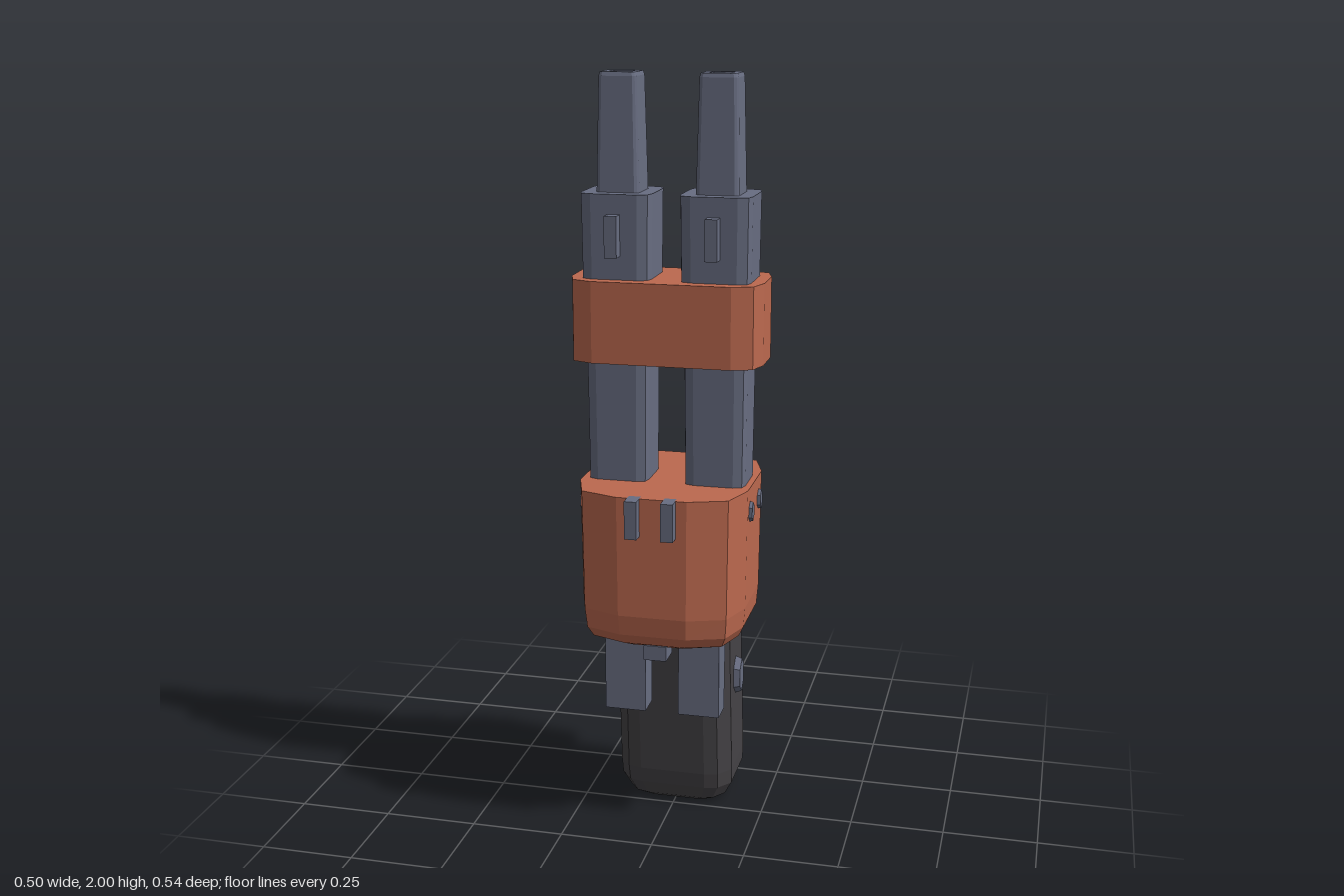
import * as THREE from 'three';

const mat = (name, color) => {
  const m = new THREE.MeshStandardMaterial({ color });
  m.name = name;
  return m;
};

// Octagon-like outline, counter-clockwise from above; corner = [[x, z], ...] as fractions of the half sizes
function ring(y, hw, zFront, zBack, corner, cx = 0) {
  const hz = (zFront - zBack) / 2, cz = (zFront + zBack) / 2, pts = [];
  const rev = [...corner].reverse();
  for (const [sx, sz, list] of [[1, -1, corner], [-1, -1, rev], [-1, 1, corner], [1, 1, rev]])
    for (const [u, v] of list) pts.push([cx + sx * u * hw, y, cz + sz * v * hz]);
  return pts;
}

// Faceted skin through a stack of rings, with optional end caps
function loft(rings, capBottom = true, capTop = true) {
  const pos = [];
  const tri = (a, b, c) => pos.push(...a, ...b, ...c);
  for (let r = 0; r < rings.length - 1; r++) {
    const a = rings[r], b = rings[r + 1], n = a.length;
    for (let i = 0; i < n; i++) {
      const j = (i + 1) % n;
      tri(a[i], a[j], b[j]);
      tri(a[i], b[j], b[i]);
    }
  }
  const first = rings[0], last = rings[rings.length - 1];
  for (let i = 1; i < first.length - 1; i++) {
    if (capBottom) tri(first[0], first[i + 1], first[i]);
    if (capTop) tri(last[0], last[i], last[i + 1]);
  }
  const g = new THREE.BufferGeometry();
  g.setAttribute('position', new THREE.Float32BufferAttribute(pos, 3));
  g.computeVertexNormals();
  return g;
}

// Side profile of [z, y] points, extruded along x between x0 and x1
function sideExtrude(points, x0, x1) {
  const shape = new THREE.Shape(points.map(([z, y]) => new THREE.Vector2(-z, y)));
  const g = new THREE.ExtrudeGeometry(shape, { depth: x1 - x0, bevelEnabled: false });
  g.rotateY(Math.PI / 2);
  g.translate(x0, 0, 0);
  return g;
}

export function createModel() {
  const model = new THREE.Group();
  const copper = mat('copper', 0xbc694f);
  const steel = mat('steel', 0x686d81);
  const black = mat('black', 0x454346);
  const amber = mat('amber', 0xb5781f);

  const add = (name, geometry, material, parent = model) => {
    const mesh = new THREE.Mesh(geometry, material);
    mesh.name = name;
    parent.add(mesh);
    return mesh;
  };
  const box = (name, x0, x1, y0, y1, z0, z1, material, parent) =>
    add(name, new THREE.BoxGeometry(x1 - x0, y1 - y0, z1 - z0), material, parent)
      .position.set((x0 + x1) / 2, (y0 + y1) / 2, (z0 + z1) / 2);

  // Receiver body with a rounded underside
  const bodyCorner = [[1, 0.42], [0.86, 0.845], [0.41, 1]];
  add('body', loft([
    [0.54, 0.165, 0.18, -0.19], [0.555, 0.2, 0.21, -0.2], [0.585, 0.214, 0.23, -0.203],
    [0.64, 0.219, 0.238, -0.206], [0.96, 0.223, 0.24, -0.21],
  ].map(([y, w, f, b]) => ring(y, w, f, b, bodyCorner))), copper);

  // Clamp band round both barrels
  const clampCorner = [[1, 0.4], [0.932, 0.84], [0.72, 1]];
  add('clamp', loft([1.28, 1.49].map((y) => ring(y, 0.25, 0.14, -0.11, clampCorner))), copper);

  // Leaning grip
  const gripCorner = [[1, 0.62], [0.8, 0.93], [0.57, 1]];
  add('grip', loft([
    [0, 0.105, -0.035, -0.225], [0.015, 0.135, -0.015, -0.245], [0.055, 0.156, 0.002, -0.258],
    [0.1, 0.158, 0.01, -0.256], [0.54, 0.156, 0.047, -0.205], [0.58, 0.15, 0.05, -0.195],
  ].map(([y, w, f, b]) => ring(y, w, f, b, gripCorner))), black);

  const barrelCorner = [[1, 0.62], [0.93, 0.9], [0.65, 1]];
  const muzzleCorner = [[1, 0.8], [0.92, 0.92], [0.8, 1]];
  const square = [[1, 0.98], [0.99, 0.99], [0.98, 1]];
  const cz = 0.015;

  for (const s of [-1, 1]) {
    const side = s > 0 ? 'left' : 'right';
    const cx = s * 0.128;
    const sq = (y, h, corner) => ring(y, h, cz + h, cz - h, corner, cx);

    // Barrel, collar, tapering muzzle and bore
    const barrel = new THREE.Group();
    barrel.name = side + 'Barrel';
    model.add(barrel);
    add('barrelTube', loft([sq(0.9, 0.079, barrelCorner), sq(1.38, 0.083, barrelCorner),
      sq(1.4, 0.089, barrelCorner), sq(1.705, 0.092, barrelCorner)]), steel, barrel);
    add('muzzle', loft([sq(1.69, 0.056, muzzleCorner), sq(1.99, 0.049, muzzleCorner),
      sq(2, 0.046, muzzleCorner), sq(2, 0.028, square), sq(1.95, 0.028, square)],
      false, false), steel, barrel);
    add('bore', loft([sq(1.94, 0.028, square), sq(1.952, 0.028, square)]), black, barrel);
    box('sight', cx - 0.016, cx + 0.016, 1.55, 1.655, 0.095, 0.14, steel, barrel);

    // Tab on the front of the body
    const tx = s * 0.047;
    box(side + 'FrontTab', tx - 0.016, tx + 0.016, 0.86, 0.96, 0.22, 0.27, steel);

    // Trigger
    const trigger = [[0.13, 0.56], [0.05, 0.56], [0.06, 0.33], [0.13, 0.33]];
    add(side + 'Trigger', sideExtrude(trigger, s > 0 ? 0.045 : -0.155, s > 0 ? 0.155 : -0.045), steel);

    // Hexagonal bolts on the body and grip
    const bolt = (name, x, y, z, ry, rz) => {
      const g = new THREE.CylinderGeometry(0.8, 1, 0.03, 6).toNonIndexed();
      g.rotateZ(-s * Math.PI / 2);
      g.rotateX(Math.PI / 2);
      g.scale(1, ry, rz);
      g.computeVertexNormals();
      add(name, g, steel).position.set(s * x, y, z);
    };
    bolt(side + 'GripBolt', 0.159, 0.365, -0.09, 0.06, 0.038);
    bolt(side + 'BodyBoltFront', 0.216, 0.895, 0.075, 0.032, 0.021);
    bolt(side + 'BodyBoltBack', 0.216, 0.895, -0.04, 0.032, 0.021);
  }

  // Small catch under the body
  box('catch', -0.03, 0.03, 0.51, 0.55, 0.14, 0.205, steel);

  // Bracket on the back of the body, with an amber edge plate
  const bracket = [[-0.195, 0.855], [-0.253, 0.855], [-0.27, 0.83], [-0.27, 0.56], [-0.253, 0.54],
    [-0.195, 0.54], [-0.195, 0.58], [-0.24, 0.59], [-0.24, 0.81], [-0.195, 0.81]];
  add('backBracket', sideExtrude(bracket, -0.06, 0.063), steel);
  add('bracketEdge', sideExtrude(bracket, -0.063, -0.06), amber);

  return model;
}
